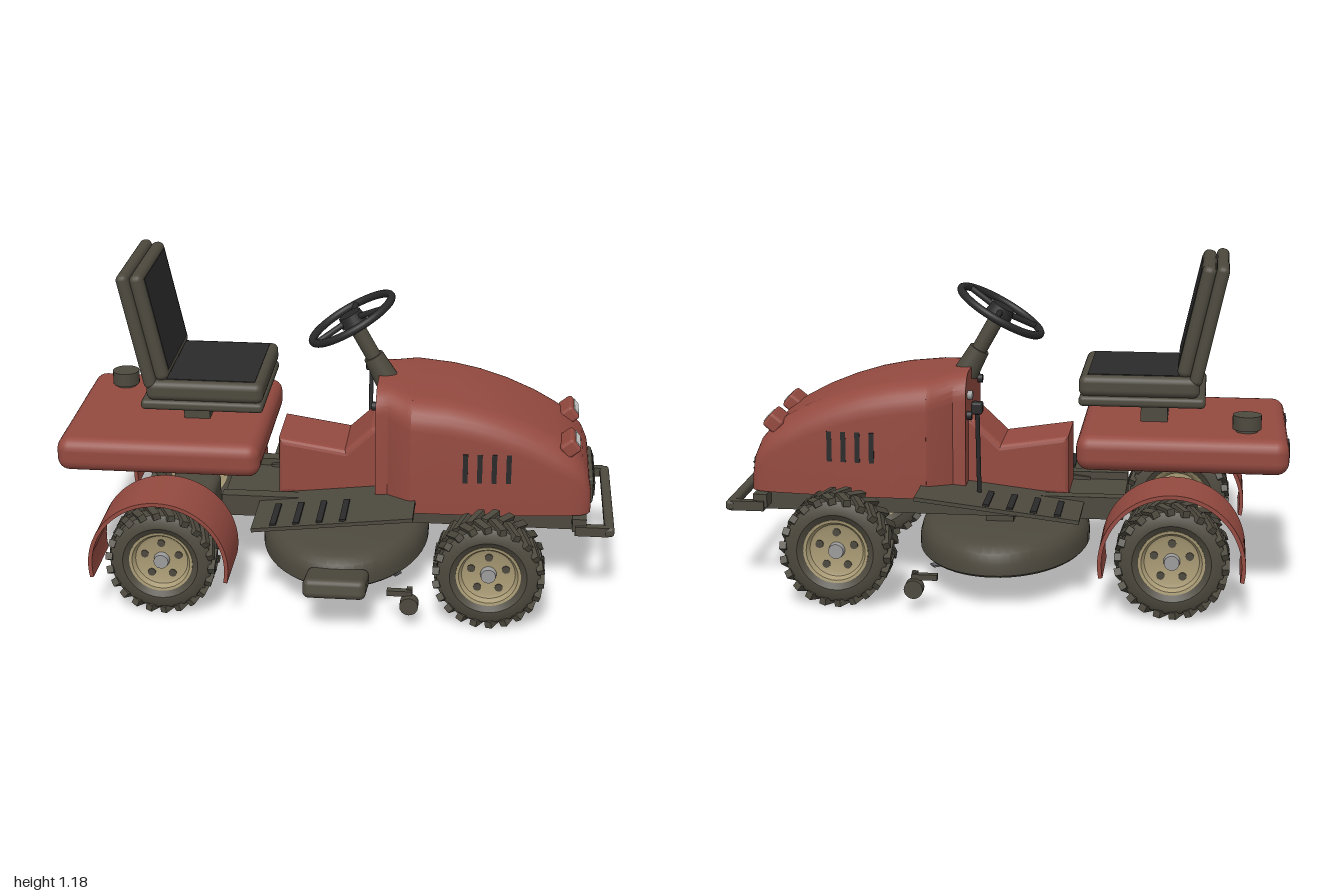
import * as THREE from 'three';
import { toCreasedNormals } from 'three/addons/utils/BufferGeometryUtils.js';
import { RoundedBoxGeometry } from 'three/addons/geometries/RoundedBoxGeometry.js';

const paint = (name, color, extra = {}) => Object.assign(new THREE.MeshStandardMaterial({ color, ...extra }), { name });

export function createModel() {
  const red = paint('red paint', 0x944a40);
  const dark = paint('dark olive', 0x4d493e);
  const black = paint('black', 0x2a2a2b);
  const tan = paint('tan rim', 0xa89a74);
  const silver = paint('silver', 0x9c9c9c);
  const lens = paint('lens white', 0xd2d2d0);
  const steel = paint('blade steel', 0x626164);

  const root = new THREE.Group();
  root.name = 'ridingMower';
  const mower = new THREE.Group();
  mower.name = 'mower';
  mower.position.z = -0.045; // the side chute shifts the overall centre
  root.add(mower);

  const add = (name, geo, mat, x = 0, y = 0, z = 0, parent = mower) => {
    const m = new THREE.Mesh(geo, mat);
    m.name = name;
    m.position.set(x, y, z);
    parent.add(m);
    return m;
  };
  const box = (w, h, d) => new THREE.BoxGeometry(w, h, d);
  const rbox = (w, h, d, r) => new RoundedBoxGeometry(w, h, d, 3, r);
  const rod = (name, a, b, r0, r1, mat, parent = mower) => {
    const p = new THREE.Vector3(...a), q = new THREE.Vector3(...b), d = q.clone().sub(p);
    const m = add(name, new THREE.CylinderGeometry(r1, r0, d.length(), 20), mat, 0, 0, 0, parent);
    m.position.copy(p).add(q).multiplyScalar(0.5);
    m.quaternion.setFromUnitVectors(new THREE.Vector3(0, 1, 0), d.normalize());
    return m;
  };

  // Body shell lofted along x; station = [x, top, halfWidth, shoulderRadius]
  const loft = (stations, bottom) => {
    const pos = [], idx = [], n = 18;
    for (const [x, top, w, r] of stations) {
      const half = [[bottom, w]];
      for (let i = 0; i <= 7; i++) {
        const a = (i / 7) * Math.PI / 2;
        half.push([top - r + r * Math.sin(a), w - r + r * Math.cos(a)]);
      }
      const all = half.concat(half.slice().reverse().map(([y, z]) => [y, -z]));
      for (const [y, z] of all) pos.push(x, y, z);
    }
    const last = (stations.length - 1) * n;
    for (let s = 0; s < last; s += n) for (let j = 0; j < n; j++) {
      const k = (j + 1) % n;
      idx.push(s + j, s + n + j, s + n + k, s + j, s + n + k, s + k);
    }
    for (let j = 1; j < n - 1; j++) idx.push(0, j, j + 1, last, last + j + 1, last + j);
    const g = new THREE.BufferGeometry();
    g.setAttribute('position', new THREE.Float32BufferAttribute(pos, 3));
    g.setIndex(idx);
    return toCreasedNormals(g, 0.6);
  };

  // Hood, dash, tunnel and rear body
  add('hood', loft([
    [0.27, 0.755, 0.28, 0.1], [0.4, 0.742, 0.279, 0.1], [0.5, 0.722, 0.276, 0.1], [0.6, 0.692, 0.27, 0.1],
    [0.7, 0.652, 0.262, 0.1], [0.78, 0.61, 0.254, 0.1], [0.84, 0.568, 0.247, 0.09], [0.88, 0.522, 0.238, 0.08],
    [0.902, 0.47, 0.225, 0.06], [0.913, 0.41, 0.205, 0.04]], 0.34), red);
  add('dash', loft([[0.14, 0.77, 0.205, 0.09], [0.185, 0.768, 0.21, 0.09], [0.255, 0.757, 0.272, 0.1],
    [0.272, 0.755, 0.28, 0.1]], 0.34), red);
  const side = new THREE.Shape([[-0.2, 0.345], [0.16, 0.345], [0.16, 0.6], [0.13, 0.58], [0.03, 0.485], [-0.2, 0.522]]
    .map(p => new THREE.Vector2(...p)));
  add('tunnel', new THREE.ExtrudeGeometry(side, { depth: 0.22, bevelSize: 0.02, bevelThickness: 0.02, bevelSegments: 3 }), red, 0, 0, -0.11);
  add('rearBody', rbox(0.73, 0.125, 0.705, 0.045), red, -0.625, 0.538, 0);
  add('fuelCap', new THREE.CylinderGeometry(0.05, 0.05, 0.05, 24), dark, -0.845, 0.635, -0.205);
  add('fuelCapNeck', new THREE.CylinderGeometry(0.038, 0.038, 0.07, 24), dark, -0.845, 0.62, -0.205);

  // Grille with slats
  add('grilleFrame', rbox(0.02, 0.1, 0.3, 0.009), dark, 0.912, 0.395, 0);
  for (let i = 0; i < 4; i++) {
    add('grilleSlot', box(0.006, 0.012, 0.26), black, 0.922, 0.363 + i * 0.022, 0);
    if (i < 3) add('grilleSlat', rbox(0.012, 0.007, 0.27, 0.003), dark, 0.924, 0.374 + i * 0.022, 0);
  }

  // Parts mirrored on both sides
  const fender = new THREE.Shape();
  fender.absarc(0, 0, 0.25, -0.2, Math.PI + 0.2, false);
  fender.absarc(0, 0, 0.236, Math.PI + 0.2, -0.2, true);
  for (const s of [1, -1]) {
    const lamp = new THREE.Group();
    lamp.name = 'headlight';
    lamp.position.set(0.832, 0.583, s * 0.153);
    lamp.rotation.z = -0.9;
    mower.add(lamp);
    add('lampFrame', rbox(0.058, 0.06, 0.125, 0.012), red, 0, 0, 0, lamp);
    add('lampLens', box(0.026, 0.006, 0.1), lens, 0.004, 0.03, 0, lamp);
    add('tailLight', box(0.012, 0.045, 0.1), black, -0.988, 0.54, s * 0.19);
    for (let i = 0; i < 4; i++) add('sideVent', box(0.018, 0.11, 0.008), black, 0.465 + i * 0.051, 0.52, s * (0.276 - i * 0.0035));

    const f = add('rearFender', new THREE.ExtrudeGeometry(fender, { depth: 0.24, bevelEnabled: false, curveSegments: 40 }), red, -0.6, 0.2, s > 0 ? 0.28 : -0.52);
    f.geometry = toCreasedNormals(f.geometry, 0.5);

    // Sloping foot plate with grip strips
    const step = new THREE.Group();
    step.name = 'footPlate';
    step.position.set(0.005, 0.35, s * 0.28);
    step.rotation.z = 0.115;
    mower.add(step);
    add('plate', box(0.575, 0.014, 0.3), dark, 0, 0, 0, step);
    for (let i = 0; i < 4; i++) add('gripStrip', box(0.022, 0.014, 0.17), black, -0.21 + i * 0.083, 0.007, s * 0.05, step);

    // Chassis, bumper arms and deck gauge wheels
    add('frameRail', box(1.3, 0.08, 0.05), dark, 0.23, 0.302, s * 0.17);
    add('axleMount', box(0.12, 0.025, 0.1), dark, 0.56, 0.246, s * 0.17);
    add('bumperArm', box(0.12, 0.035, 0.03), dark, 0.92, 0.293, s * 0.262);
    add('bumperBracket', box(0.05, 0.05, 0.13), dark, 0.875, 0.31, s * 0.2);
    add('gaugeArm', box(0.09, 0.02, 0.025), dark, 0.25, 0.115, s * 0.46);
    add('gaugeFork', box(0.02, 0.06, 0.02), dark, 0.285, 0.1, s * 0.45);
    rod('gaugeWheel', [0.285, 0.077, s * 0.455], [0.285, 0.077, s * 0.495], 0.033, 0.033, dark);
  }
  add('frameCross', box(0.32, 0.05, 0.34), dark, -0.26, 0.29, 0);
  add('engineBase', box(0.5, 0.05, 0.34), dark, 0.55, 0.315, 0);
  add('bumper', rbox(0.035, 0.036, 0.56, 0.012), dark, 0.982, 0.293, 0);
  add('frontAxleBeam', rbox(0.08, 0.07, 0.66, 0.015), dark, 0.56, 0.2, 0);
  rod('rearAxle', [-0.6, 0.2, -0.36], [-0.6, 0.2, 0.36], 0.04, 0.04, dark);
  add('transaxle', rbox(0.18, 0.14, 0.22, 0.03), dark, -0.56, 0.235, 0);

  // Cutting deck: an oval shell, closed below, with two blades
  const deckProfile = [[0, 0.115], [0.97, 0.115], [1, 0.125], [1, 0.165], [0.97, 0.2], [0.9, 0.222], [0.8, 0.23], [0, 0.23]];
  const deck = toCreasedNormals(new THREE.LatheGeometry(deckProfile.map(p => new THREE.Vector2(...p)), 56).scale(0.308, 1, 0.46), 0.6);
  add('deck', deck, dark, 0.02, 0, 0);
  add('deckMount', box(0.1, 0.05, 0.3), dark, 0.025, 0.245, 0);
  add('chute', rbox(0.22, 0.07, 0.18, 0.022), dark, 0.03, 0.168, 0.515).rotation.x = -0.21;
  for (const [z, turn] of [[0.145, -0.62], [-0.165, 0.53]]) {
    add('blade', box(0.53, 0.006, 0.035), steel, 0.02, 0.103, z).rotation.y = turn;
    add('bladeSpindle', new THREE.CylinderGeometry(0.02, 0.02, 0.02, 16), steel, 0.02, 0.11, z);
  }

  // Seat
  add('seatPost', box(0.095, 0.09, 0.2), dark, -0.52, 0.64, 0);
  add('seatBase', rbox(0.44, 0.036, 0.46, 0.014), dark, -0.48, 0.697, 0);
  add('seatCushion', rbox(0.42, 0.075, 0.46, 0.025), dark, -0.47, 0.75, 0);
  add('seatPad', box(0.32, 0.008, 0.4), black, -0.45, 0.786, 0);
  const back = new THREE.Group();
  back.name = 'seatBack';
  back.position.set(-0.685, 0.972, 0);
  back.rotation.z = 0.215;
  mower.add(back);
  add('backShell', rbox(0.045, 0.43, 0.46, 0.02), dark, -0.023, 0, 0, back);
  add('backCushion', rbox(0.05, 0.4, 0.43, 0.022), dark, 0.022, 0.002, 0, back);
  add('backPad', box(0.008, 0.345, 0.365), black, 0.045, 0.005, 0, back);

  // Steering column and wheel
  rod('columnBoot', [0.165, 0.74, 0], [0.115, 0.83, 0], 0.045, 0.037, dark);
  rod('column', [0.14, 0.785, 0], [0.045, 0.955, 0], 0.028, 0.028, dark);
  const wheel = new THREE.Group();
  wheel.name = 'steeringWheel';
  wheel.position.set(0.037, 0.97, 0);
  wheel.rotation.z = 0.523;
  mower.add(wheel);
  add('wheelRim', new THREE.TorusGeometry(0.163, 0.0145, 12, 48).rotateX(Math.PI / 2), black, 0, 0, 0, wheel);
  add('wheelHub', new THREE.CylinderGeometry(0.042, 0.05, 0.04, 24), black, 0, 0, 0, wheel);
  for (let i = 0; i < 3; i++) {
    const a = -Math.PI / 2 + i * Math.PI * 2 / 3;
    rod('wheelSpoke', [0, 0, 0], [0.16 * Math.cos(a), 0, 0.16 * Math.sin(a)], 0.011, 0.011, black, wheel);
  }

  // Deck lever and dash controls
  rod('leverRod', [0.085, 0.35, -0.25], [0.085, 0.68, -0.3], 0.008, 0.008, black);
  add('leverKnob', rbox(0.04, 0.042, 0.042, 0.008), black, 0.085, 0.683, -0.302);
  for (const [y, z, mat] of [[0.69, -0.14, silver], [0.69, 0.14, black], [0.62, -0.16, black]])
    rod('dashKnob', [0.145, y, z], [0.122, y, z], 0.016, 0.016, mat);

  // Wheels: tyre with chevron lugs, dished rim, hub and dark holes
  const lathe = pts => toCreasedNormals(new THREE.LatheGeometry(pts.map(p => new THREE.Vector2(...p)), 40).rotateX(Math.PI / 2), 0.6);
  const tyre = lathe([[0.112, -0.06], [0.135, -0.075], [0.165, -0.073], [0.182, -0.06], [0.184, 0],
    [0.182, 0.06], [0.165, 0.073], [0.135, 0.075], [0.112, 0.06], [0.108, 0], [0.112, -0.06]]);
  const rim = lathe([[0, -0.02], [0.085, -0.02], [0.1, -0.055], [0.114, -0.064], [0.115, 0], [0.114, 0.064],
    [0.104, 0.062], [0.094, 0.045], [0.08, 0.04], [0, 0.04]]);
  const lug = box(0.026, 0.024, 0.09);
  for (const x of [-0.6, 0.56]) for (const s of [1, -1]) {
    const w = new THREE.Group();
    w.name = x < 0 ? 'rearWheel' : 'frontWheel';
    w.position.set(x, 0.196, s * 0.405);
    if (s < 0) w.rotation.y = Math.PI;
    mower.add(w);
    add('tyre', tyre, dark, 0, 0, 0, w);
    add('rim', rim, tan, 0, 0, 0, w);
    rod('hub', [0, 0, 0.03], [0, 0, 0.062], 0.03, 0.026, silver, w);
    for (let i = 0; i < 5; i++) {
      const a = Math.PI / 2 + i * Math.PI * 0.4;
      const c = [0.064 * Math.cos(a), 0.064 * Math.sin(a)];
      rod('rimHole', [...c, 0.036], [...c, 0.044], 0.014, 0.014, dark, w);
    }
    for (let i = 0; i < 44; i++) {
      const e = i % 2 ? 1 : -1;
      const spoke = new THREE.Group();
      spoke.name = 'treadLug';
      spoke.rotation.z = i * Math.PI / 22;
      w.add(spoke);
      add('lug', lug, dark, 0, 0.183, e * 0.036, spoke).rotation.y = e * 0.5;
    }
  }
  return root;
}
